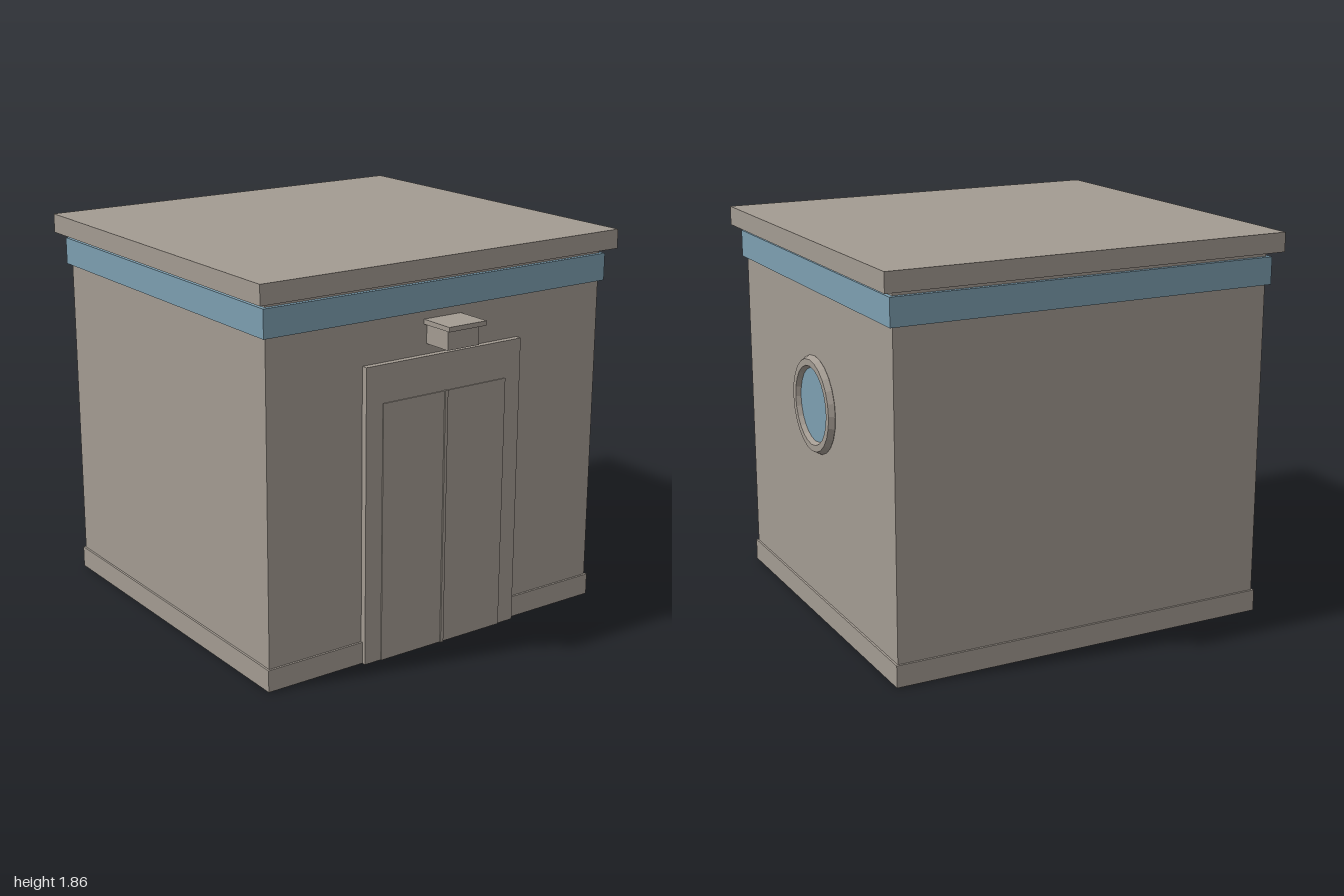
import * as THREE from 'three';

export function createModel() {
  const model = new THREE.Group();
  model.name = 'kiosk';

  const stone = new THREE.MeshStandardMaterial({ color: 0xa39b92 });
  stone.name = 'warm grey';
  const blue = new THREE.MeshStandardMaterial({ color: 0x7d9fb1 });
  blue.name = 'soft blue';

  const centreX = -0.06; // the building sits off centre to make room for the lamp

  function add(name, geometry, material, x, y, z) {
    const mesh = new THREE.Mesh(geometry, material);
    mesh.name = name;
    mesh.position.set(x, y, z);
    model.add(mesh);
    return mesh;
  }

  // Box given by its x range, y range and z range
  function block(name, material, [x0, x1], [y0, y1], [z0, z1]) {
    const geometry = new THREE.BoxGeometry(x1 - x0, y1 - y0, z1 - z0);
    return add(name, geometry, material, (x0 + x1) / 2, (y0 + y1) / 2, (z0 + z1) / 2);
  }

  // Stacked layers of the building, each with its own half depth
  function layer(name, material, halfDepth, yRange) {
    const halfWidth = halfDepth - 0.06;
    block(name, material, [centreX - halfWidth, centreX + halfWidth], yRange, [-halfDepth, halfDepth]);
  }
  layer('walls', stone, 0.94, [0.005, 1.775]);
  layer('plinth', stone, 0.95, [0, 0.105]);
  layer('band', blue, 0.96, [1.615, 1.745]);
  layer('roof', stone, 1.0, [1.77, 1.862]);

  // Double door on the right wall
  block('doorFrame', stone, [0.8, 0.85], [0, 1.412], [-0.44, 0.44]);
  for (const side of [-1, 1]) {
    const zRange = side > 0 ? [0, 0.35] : [-0.35, 0];
    block(side > 0 ? 'frontDoorLeaf' : 'backDoorLeaf', stone, [0.84, 0.855], [0, 1.235], zRange);
  }
  block('doorSeam', stone, [0.84, 0.862], [0, 1.237], [-0.008, 0.008]);

  // Lamp above the door
  block('lampBody', stone, [0.81, 0.97], [1.46, 1.552], [-0.088, 0.088]);
  block('lampCap', stone, [0.81, 1.0], [1.552, 1.574], [-0.105, 0.105]);

  // Round window on the back wall: faceted ring and thin glass
  const ring = new THREE.TorusGeometry(0.204, 0.031, 6, 24).toNonIndexed();
  ring.computeVertexNormals();
  add('windowRing', ring, stone, centreX, 1.062, -0.942);

  const glass = new THREE.CylinderGeometry(0.2, 0.2, 0.008, 24);
  glass.rotateX(Math.PI / 2);
  add('windowGlass', glass, blue, centreX, 1.062, -0.943);

  return model;
}
